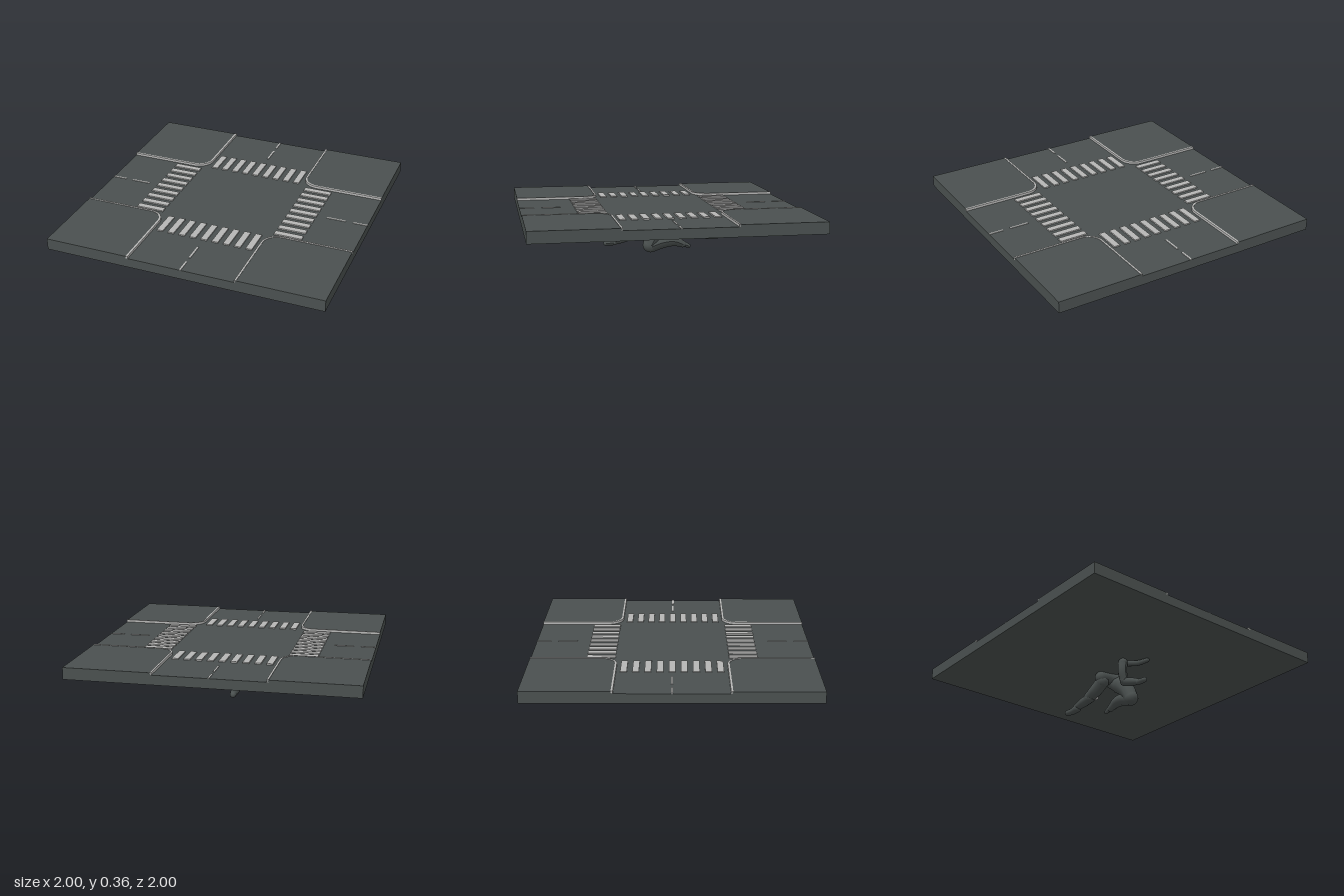
import * as THREE from 'three';

const asphalt = new THREE.MeshStandardMaterial({ color: 0x4a504f });
asphalt.name = 'asphalt';
const paint = new THREE.MeshStandardMaterial({ color: 0xb6b6b5 });
paint.name = 'roadPaint';

const ROAD = 0.343, BASE = 0.275, EDGE = 0.39, R = 0.11;

function add(parent, name, geometry, material) {
  const mesh = new THREE.Mesh(geometry, material);
  mesh.name = name;
  parent.add(mesh);
  return mesh;
}

function box(parent, name, material, size, pos) {
  return add(parent, name, new THREE.BoxGeometry(...size), material).position.set(...pos);
}

// Extrudes a ground-plan shape (x, z) downward from the given top height.
function slab(parent, name, shape, top, depth, material) {
  const g = new THREE.ExtrudeGeometry(shape, { depth, bevelEnabled: false, curveSegments: 10 });
  g.rotateX(Math.PI / 2);
  add(parent, name, g, material).position.y = top;
}

// Pavement quadrant whose inner corner is rounded.
function pavementShape() {
  const s = new THREE.Shape();
  s.moveTo(EDGE, 1);
  s.lineTo(EDGE, EDGE + R);
  s.absarc(EDGE + R, EDGE + R, R, Math.PI, Math.PI * 1.5, false);
  s.lineTo(1, EDGE);
  s.lineTo(1, 1);
  s.closePath();
  return s;
}

// Narrow strip following the pavement edge.
function curbShape() {
  const w = 0.007, c = EDGE + R, s = new THREE.Shape();
  s.moveTo(EDGE - w, 1);
  s.lineTo(EDGE - w, c);
  s.absarc(c, c, R + w, Math.PI, Math.PI * 1.5, false);
  s.lineTo(1, EDGE - w);
  s.lineTo(1, EDGE + w);
  s.lineTo(c, EDGE + w);
  s.absarc(c, c, R - w, Math.PI * 1.5, Math.PI, true);
  s.lineTo(EDGE + w, 1);
  s.closePath();
  return s;
}

// Rounded limb through points [x, y, z, radius].
function limb(parent, name, pts, material = asphalt) {
  const first = pts[0], last = pts[pts.length - 1];
  const curve = new THREE.CatmullRomCurve3(pts.map(p => new THREE.Vector3(p[0], p[1], p[2])));
  const n = 20, sides = 10;
  const g = new THREE.TubeGeometry(curve, n, 1, sides, false);
  const pos = g.attributes.position, v = new THREE.Vector3();
  for (let i = 0; i <= n; i++) {
    const c = curve.getPointAt(i / n);
    const t = curve.getUtoTmapping(i / n) * (pts.length - 1);
    const k = Math.min(Math.floor(t), pts.length - 2);
    const r = THREE.MathUtils.lerp(pts[k][3], pts[k + 1][3], t - k);
    for (let j = 0; j <= sides; j++) {
      const id = i * (sides + 1) + j;
      v.fromBufferAttribute(pos, id).sub(c).multiplyScalar(r).add(c);
      pos.setXYZ(id, v.x, v.y, v.z);
    }
  }
  g.computeVertexNormals();
  const group = new THREE.Group();
  group.name = name;
  parent.add(group);
  add(group, name + 'Surface', g, material);
  for (const p of [first, last]) {
    add(group, name + 'End', new THREE.SphereGeometry(p[3], 12, 8), material).position.set(p[0], p[1], p[2]);
  }
}

export function createModel() {
  const model = new THREE.Group();
  model.name = 'crossroads';

  // Road bed
  box(model, 'roadBed', asphalt, [2, ROAD - BASE, 2], [0, (ROAD + BASE) / 2, 0]);

  // Four identical arms: pavement, curb, crosswalk and centre dashes
  for (let q = 0; q < 4; q++) {
    const arm = new THREE.Group();
    arm.name = 'roadArm' + (q + 1);
    arm.rotation.y = q * Math.PI / 2;
    model.add(arm);
    slab(arm, 'pavement', pavementShape(), 0.358, 0.358 - ROAD, asphalt);
    slab(arm, 'curbLine', curbShape(), 0.361, 0.361 - ROAD, paint);
    const start = q % 2 ? 0.425 : 0.4;
    for (let i = -4; i <= 4; i++) {
      box(arm, 'crosswalkBar', paint, [0.045, 0.009, 0.203], [i * 0.083, ROAD + 0.0045, start + 0.1015]);
    }
    box(arm, 'centreDash', paint, [0.013, 0.004, 0.14], [0, ROAD + 0.002, 0.77]);
    box(arm, 'centreDash', paint, [0.013, 0.004, 0.105], [0, ROAD + 0.002, 0.947]);
  }

  // Crouched figure under the slab
  const figure = new THREE.Group();
  figure.name = 'figure';
  model.add(figure);
  limb(figure, 'foldedThigh', [[0.092, 0.06, 0.055, 0.054], [0.088, 0.14, 0.01, 0.062], [0.07, 0.2, -0.06, 0.064], [0.04, 0.235, -0.13, 0.04]]);
  limb(figure, 'foldedShin', [[0.095, 0.055, 0.05, 0.05], [0.1, 0.085, -0.04, 0.05], [0.1, 0.088, -0.12, 0.042], [0.095, 0.06, -0.19, 0.026]]);
  limb(figure, 'foldedFoot', [[0.095, 0.075, -0.17, 0.025], [0.09, 0.043, -0.235, 0.016]]);
  limb(figure, 'hips', [[0.1, 0.24, -0.06, 0.05], [0.02, 0.25, -0.1, 0.05], [-0.06, 0.24, -0.11, 0.05]]);
  limb(figure, 'beltPouch', [[0.03, 0.25, -0.19, 0.034], [0, 0.248, -0.235, 0.03]]);
  limb(figure, 'straightThigh', [[-0.05, 0.21, -0.11, 0.05], [-0.055, 0.16, -0.19, 0.048], [-0.055, 0.13, -0.27, 0.04]]);
  limb(figure, 'straightShin', [[-0.055, 0.125, -0.25, 0.038], [-0.055, 0.115, -0.33, 0.038], [-0.055, 0.1, -0.43, 0.025]]);
  limb(figure, 'straightFoot', [[-0.055, 0.09, -0.41, 0.03], [-0.055, 0.087, -0.47, 0.026], [-0.06, 0.09, -0.525, 0.022]]);
  limb(figure, 'upperArm', [[-0.09, 0.245, 0.18, 0.036], [-0.095, 0.18, 0.18, 0.034], [-0.075, 0.11, 0.175, 0.032]]);
  limb(figure, 'forearm', [[-0.07, 0.105, 0.17, 0.032], [-0.055, 0.083, 0.24, 0.03], [-0.045, 0.065, 0.3, 0.022]]);
  limb(figure, 'hand', [[-0.045, 0.062, 0.3, 0.023], [-0.045, 0.057, 0.365, 0.019]]);
  limb(figure, 'raisedForearm', [[-0.06, 0.25, 0.18, 0.022], [0, 0.25, 0.24, 0.02], [0.03, 0.255, 0.315, 0.016]]);

  // Pale pads on the inner side of the arm and leg
  for (const [x, y, z] of [[-0.048, 0.135, 0.17], [-0.025, 0.13, -0.22]]) {
    const pad = add(figure, 'palePad', new THREE.SphereGeometry(0.022, 10, 8), paint);
    pad.scale.set(0.8, 0.6, 1.3);
    pad.position.set(x, y - 0.01, z);
  }
  return model;
}
